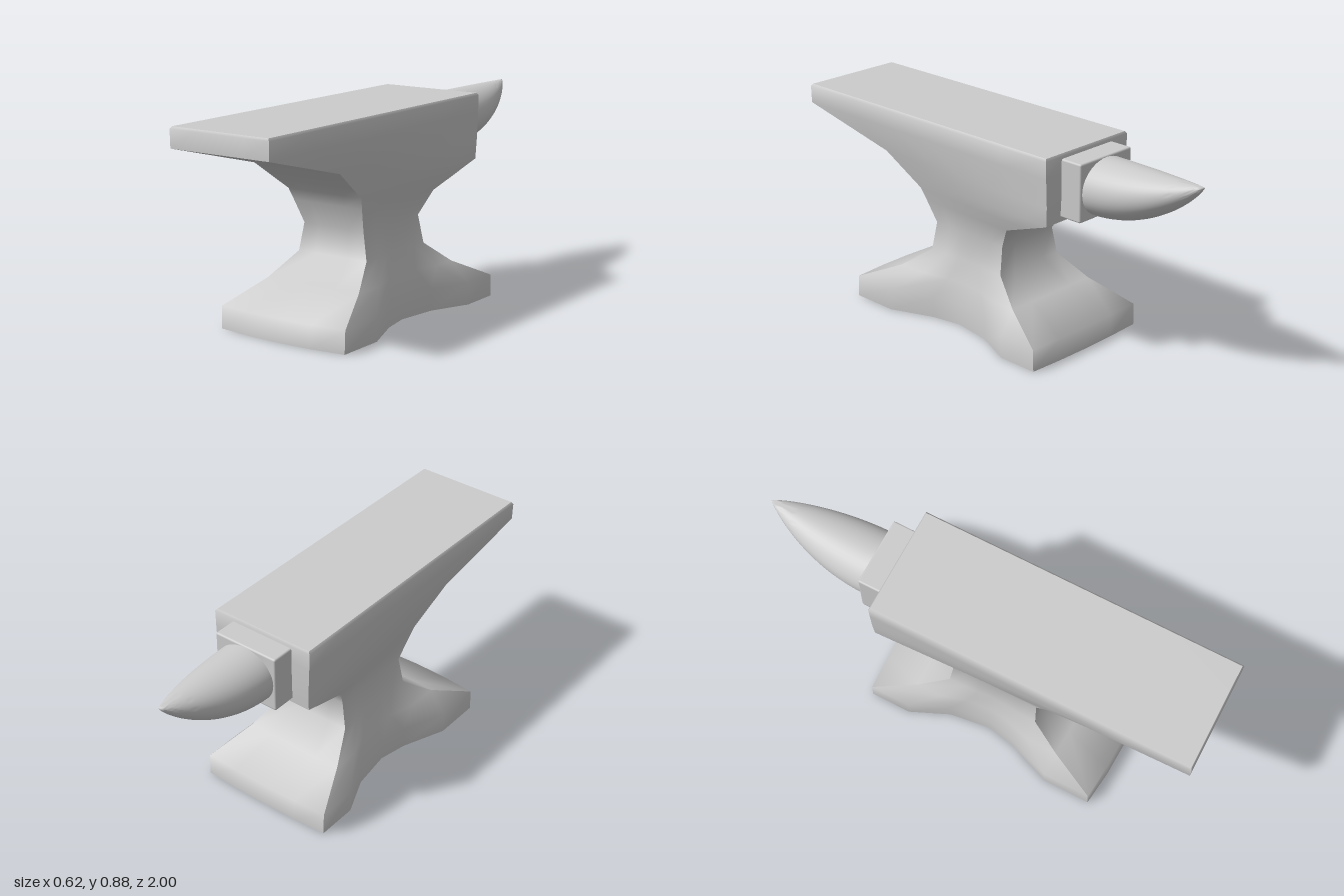
import * as THREE from 'three';
import { toCreasedNormals } from 'three/addons/utils/BufferGeometryUtils.js';
import { RoundedBoxGeometry } from 'three/addons/geometries/RoundedBoxGeometry.js';

const material = new THREE.MeshStandardMaterial({ color: 0xcccccc });
const lerp = THREE.MathUtils.lerp;

// Body cross-sections: height, front z, back z, front half width, back half width,
// inward pinch of the flanks, bow of the ends
const levels = [
  [0, 0.67, -0.43, 0.31, 0.31, 0.1, 0.025],
  [0.095, 0.66, -0.425, 0.31, 0.31, 0.1, 0.02],
  [0.185, 0.45, -0.23, 0.23, 0.23, 0.045, 0.008],
  [0.28, 0.31, -0.1, 0.172, 0.172, 0.01, 0],
  [0.4, 0.3, -0.09, 0.15, 0.15, 0, 0],
  [0.5, 0.34, -0.15, 0.172, 0.187, 0, 0],
  [0.55, 0.36, -0.28, 0.184, 0.209, 0, 0],
  [0.6, 0.43, -0.41, 0.195, 0.23, 0, 0],
  [0.68, 0.54, -0.415, 0.213, 0.233, 0, 0],
  [0.8, 1, -0.415, 0.238, 0.238, 0, 0],
  [0.875, 1, -0.415, 0.24, 0.24, 0, 0],
  [0.885, 0.994, -0.409, 0.232, 0.232, 0, 0],
];
const stations = [0, 0.2, 0.38, 0.5, 0.67, 0.83, 1];
const pinches = [0, 0, 0.75, 1, 0.75, 0, 0];
const across = [-1, -0.5, 0, 0.5, 1];

// The four sides of one cross-section, each running left to right seen from outside
function sectionSides([y, zf, zb, xf, xb, pinch, bow]) {
  const front = across.map((u) => new THREE.Vector3(u * xf, y, zf - bow * u * u));
  const back = across.map((u) => new THREE.Vector3(-u * xb, y, zb + 0.4 * bow * u * u));
  const flank = stations.map((t, i) => new THREE.Vector3(
    lerp(xf, xb, t) - pinch * pinches[i], y, lerp(zf - bow, zb + 0.4 * bow, t)));
  const mirrored = flank.map((p) => new THREE.Vector3(-p.x, p.y, p.z)).reverse();
  return [front, flank, back, mirrored];
}

// Skin over a stack of point rows
function skin(rows) {
  const n = rows[0].length;
  const index = [];
  for (let i = 0; i < rows.length - 1; i++) {
    for (let j = 0; j < n - 1; j++) {
      const a = i * n + j;
      index.push(a, a + 1, a + n + 1, a, a + n + 1, a + n);
    }
  }
  const geometry = new THREE.BufferGeometry().setFromPoints(rows.flat());
  geometry.setIndex(index);
  return toCreasedNormals(geometry, THREE.MathUtils.degToRad(65));
}

// Flat cover of a cross-section: facing 1 looks down, -1 looks up
function cap(sides, facing) {
  const outline = sides.flatMap((s) => s.slice(0, -1));
  const shape = new THREE.Shape(outline.map((p) => new THREE.Vector2(p.x, facing * p.z)));
  return new THREE.ShapeGeometry(shape)
    .rotateX(facing * Math.PI / 2)
    .translate(0, outline[0].y, 0);
}

// Round horn with a level top edge, tapering to a point at the back
function hornGeometry() {
  const length = 0.49, steps = 24;
  const taper = (t) => Math.pow(Math.max(0, 1 - t * t), 0.85);
  const profile = [];
  for (let i = 0; i <= steps; i++) {
    const t = Math.sin((i / steps) * Math.PI / 2);
    profile.push(new THREE.Vector2(taper(t), t * length));
  }
  const geometry = new THREE.LatheGeometry(profile, 40)
    .rotateX(-Math.PI / 2)
    .scale(0.14, 0.12, 1);
  const pos = geometry.attributes.position;
  for (let i = 0; i < pos.count; i++) {
    pos.setY(i, pos.getY(i) + 0.86 - 0.12 * taper(-pos.getZ(i) / length));
  }
  return toCreasedNormals(geometry.translate(0, 0, -0.51), Math.PI / 2);
}

export function createModel() {
  const model = new THREE.Group();
  model.name = 'anvil';
  const add = (parent, name, geometry) => {
    const mesh = new THREE.Mesh(geometry, material);
    mesh.name = name;
    parent.add(mesh);
    return mesh;
  };

  // Body: feet, waist and face block
  const body = new THREE.Group();
  body.name = 'body';
  model.add(body);
  const sections = levels.map(sectionSides);
  ['bodyFront', 'bodyLeft', 'bodyBack', 'bodyRight'].forEach((name, k) => {
    add(body, name, skin(sections.map((s) => s[k])));
  });
  add(body, 'topFace', cap(sections[sections.length - 1], -1));
  add(body, 'baseUnderside', cap(sections[0], 1));

  // Step block between body and horn
  const step = add(model, 'stepBlock', new RoundedBoxGeometry(0.3, 0.245, 0.14, 2, 0.008));
  step.position.set(0, 0.7425, -0.445);

  add(model, 'horn', hornGeometry());
  return model;
}
